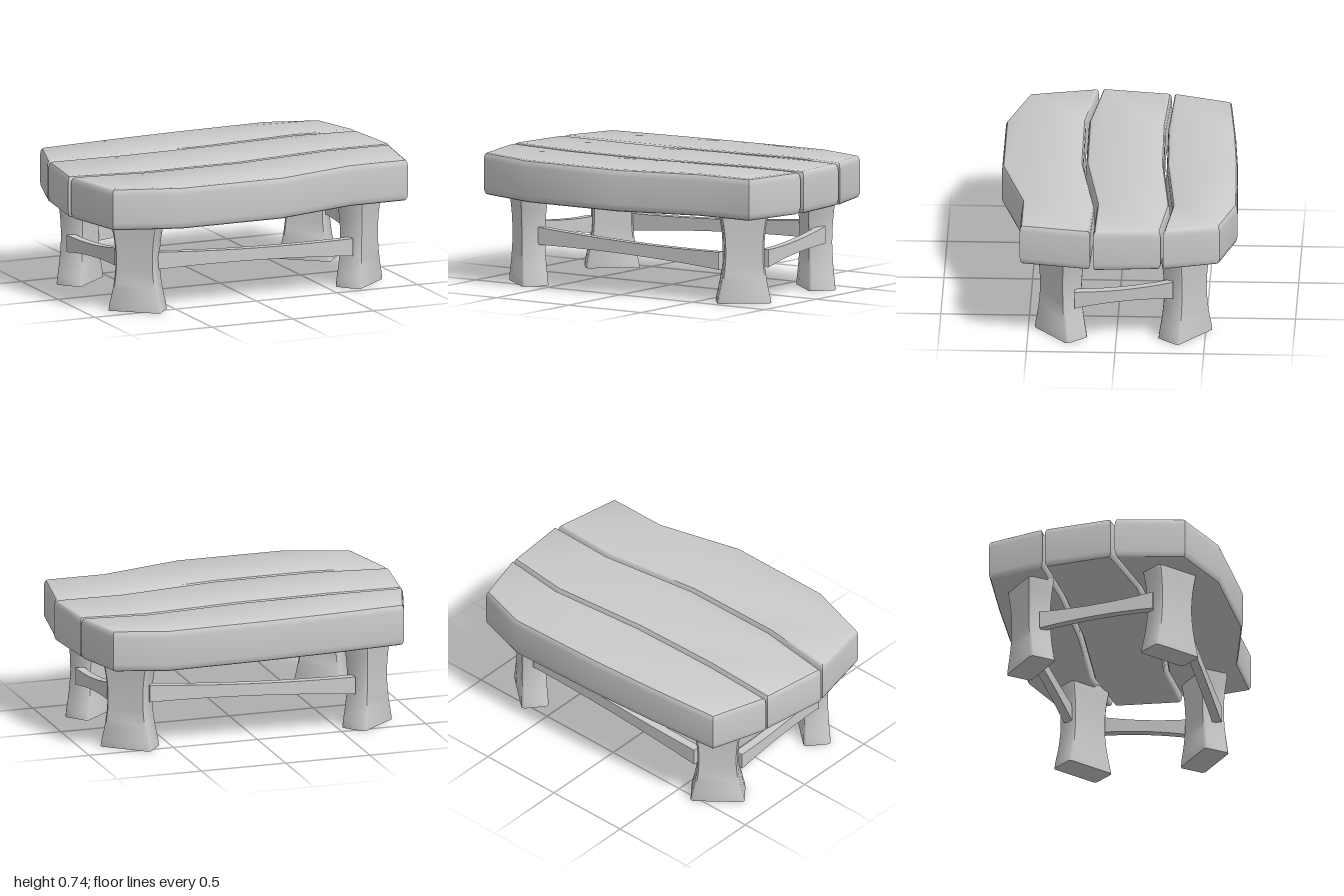
import * as THREE from 'three';
import { toCreasedNormals } from 'three/addons/utils/BufferGeometryUtils.js';

const material = new THREE.MeshStandardMaterial({ color: 0xcccccc });

function addMesh(parent, name, geometry, crease) {
  const mesh = new THREE.Mesh(toCreasedNormals(geometry, crease), material);
  mesh.name = name;
  parent.add(mesh);
  return mesh;
}

// Thick board with softened rims, outlined by [x, z] points
function plankGeometry(outline) {
  const shape = new THREE.Shape(outline.map(([x, z]) => new THREE.Vector2(x, -z)));
  const geometry = new THREE.ExtrudeGeometry(shape, {
    depth: 0.16, bevelThickness: 0.04, bevelSize: 0.02, bevelOffset: -0.02, bevelSegments: 3,
  });
  return geometry.rotateX(-Math.PI / 2).translate(0, 0.54, 0);
}

// Waisted leg: a chamfered rectangle raised in steps, then scaled by height
function legGeometry() {
  const a = 0.5, b = 0.46, c = 0.42;
  const shape = new THREE.Shape([
    [-b, -a], [b, -a], [a, -c], [a, c], [b, a], [-b, a], [-a, c], [-a, -c],
  ].map(([x, y]) => new THREE.Vector2(x, y)));
  const height = 0.52;
  const geometry = new THREE.ExtrudeGeometry(shape, { depth: height, steps: 12, bevelEnabled: false });
  geometry.rotateX(-Math.PI / 2);
  const profile = new THREE.SplineCurve([
    [0.305, 0.155], [0.255, 0.142], [0.228, 0.135], [0.237, 0.142], [0.275, 0.16],
  ].map(([w, d]) => new THREE.Vector2(w, d)));
  const p = geometry.attributes.position;
  for (let i = 0; i < p.count; i++) {
    const s = profile.getPoint(THREE.MathUtils.clamp(p.getY(i) / height, 0, 1));
    p.setXYZ(i, p.getX(i) * s.x, p.getY(i), p.getZ(i) * s.y);
  }
  return geometry;
}

// Rail between two points, slimmer in the middle, with upright ends
function railGeometry(from, to) {
  const geometry = new THREE.BoxGeometry(1, 1, 1, 8, 1, 1);
  const a = new THREE.Vector3(...from), b = new THREE.Vector3(...to);
  const side = new THREE.Vector3(a.z - b.z, 0, b.x - a.x).normalize();
  const p = geometry.attributes.position;
  const v = new THREE.Vector3();
  for (let i = 0; i < p.count; i++) {
    const t = p.getX(i);
    const high = 0.07 + 0.12 * t * t;
    const lift = p.getY(i) * high;
    v.lerpVectors(a, b, t + 0.5).addScaledVector(side, p.getZ(i) * 0.05);
    p.setXYZ(i, v.x, v.y + lift, v.z);
  }
  return geometry;
}

export function createModel() {
  const table = new THREE.Group();
  table.name = 'plankTable';

  // Wavy seams shared by neighbouring planks
  const backSeam = [[-0.945, -0.258], [-0.5, -0.24], [0.03, -0.25], [0.6, -0.302], [0.97, -0.262]];
  const frontSeam = [[-0.992, 0.155], [-0.55, 0.21], [0.03, 0.205], [0.6, 0.124], [0.99, 0.134]];
  const shift = (seam, dz) => seam.map(([x, z]) => [x, z + dz]);
  const gap = 0.007;

  // Table top
  const top = new THREE.Group();
  top.name = 'tableTop';
  table.add(top);
  const planks = {
    backPlank: [
      [-0.84, -0.595], [-0.4, -0.633], [0, -0.658], [0.58, -0.675], [0.885, -0.585],
      ...shift(backSeam, -gap).reverse(),
    ],
    middlePlank: [
      ...shift(backSeam, gap),
      [1, 0.125], ...shift(frontSeam, -gap).slice(1, 4).reverse(), [-1, 0.14],
    ],
    frontPlank: [
      ...shift(frontSeam, gap),
      [0.92, 0.54], [0.57, 0.54], [0.09, 0.67], [-0.53, 0.67], [-0.91, 0.55],
    ],
  };
  for (const [name, outline] of Object.entries(planks)) {
    addMesh(top, name, plankGeometry(outline), 0.6);
  }

  // Four legs, each turned so its broad face looks outward along the diagonal
  const legs = [
    ['frontLeftLeg', 0.72, 0.315], ['frontRightLeg', -0.695, 0.415],
    ['backLeftLeg', 0.72, -0.387], ['backRightLeg', -0.69, -0.385],
  ];
  for (const [name, x, z] of legs) {
    const leg = addMesh(table, name, legGeometry(), 0.85);
    leg.position.set(x, 0, z);
    leg.rotation.y = Math.atan2(Math.sign(x) * 0.64, Math.sign(z) * 0.77);
  }

  // Sloping rails joining the legs
  const rails = [
    ['frontRail', [-0.6, 0.282, 0.445], [0.63, 0.237, 0.405]],
    ['backRail', [-0.59, 0.255, -0.45], [0.63, 0.32, -0.45]],
    ['leftRail', [0.81, 0.245, 0.235], [0.81, 0.315, -0.32]],
    ['rightRail', [-0.78, 0.3, 0.34], [-0.78, 0.24, -0.31]],
  ];
  for (const [name, from, to] of rails) {
    addMesh(table, name, railGeometry(from, to), 0.6);
  }

  return table;
}
